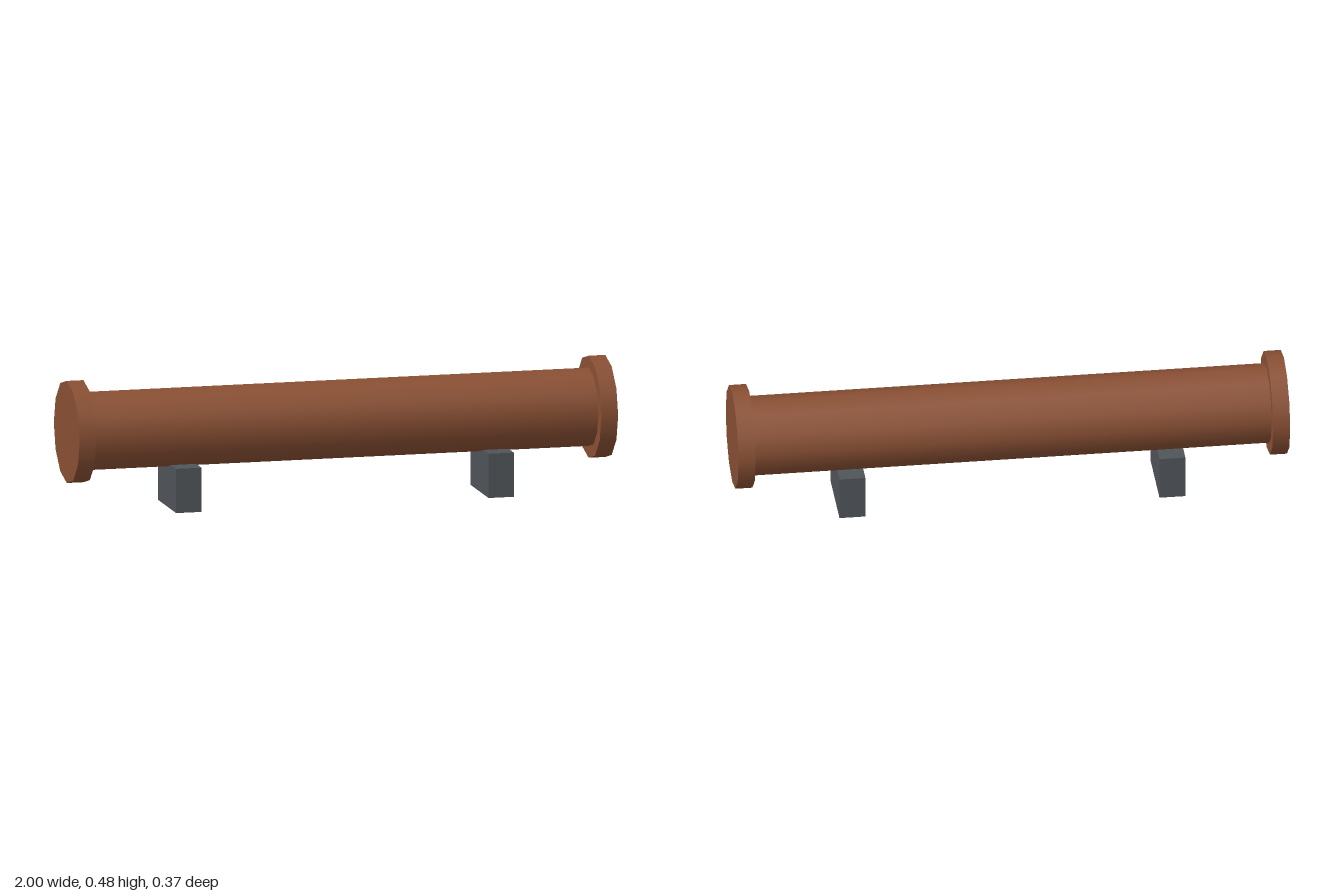
import * as THREE from 'three';

export function createModel() {
  const model = new THREE.Group();
  model.name = 'pipeOnSupports';

  const rust = new THREE.MeshStandardMaterial({ color: 0x8a5034 });
  rust.name = 'rustBrown';
  const steel = new THREE.MeshStandardMaterial({ color: 0x50555a });
  steel.name = 'darkSteel';

  const axisY = 0.291;

  // Twelve-sided cylinder lying along x
  function addCylinder(name, radius, length, x) {
    const geometry = new THREE.CylinderGeometry(radius, radius, length, 12);
    geometry.rotateZ(Math.PI / 2);
    const mesh = new THREE.Mesh(geometry, rust);
    mesh.name = name;
    mesh.position.set(x, axisY, 0);
    model.add(mesh);
  }

  addCylinder('pipe', 0.1435, 1.96, 0);

  for (const [side, s] of [['left', 1], ['right', -1]]) {
    // End flange
    addCylinder(side + 'Flange', 0.187, 0.062, s * 0.969);

    // Support block under the pipe
    const support = new THREE.Mesh(new THREE.BoxGeometry(0.094, 0.162, 0.26), steel);
    support.name = side + 'Support';
    support.position.set(s * 0.58, 0.081, 0);
    model.add(support);
  }

  return model;
}
